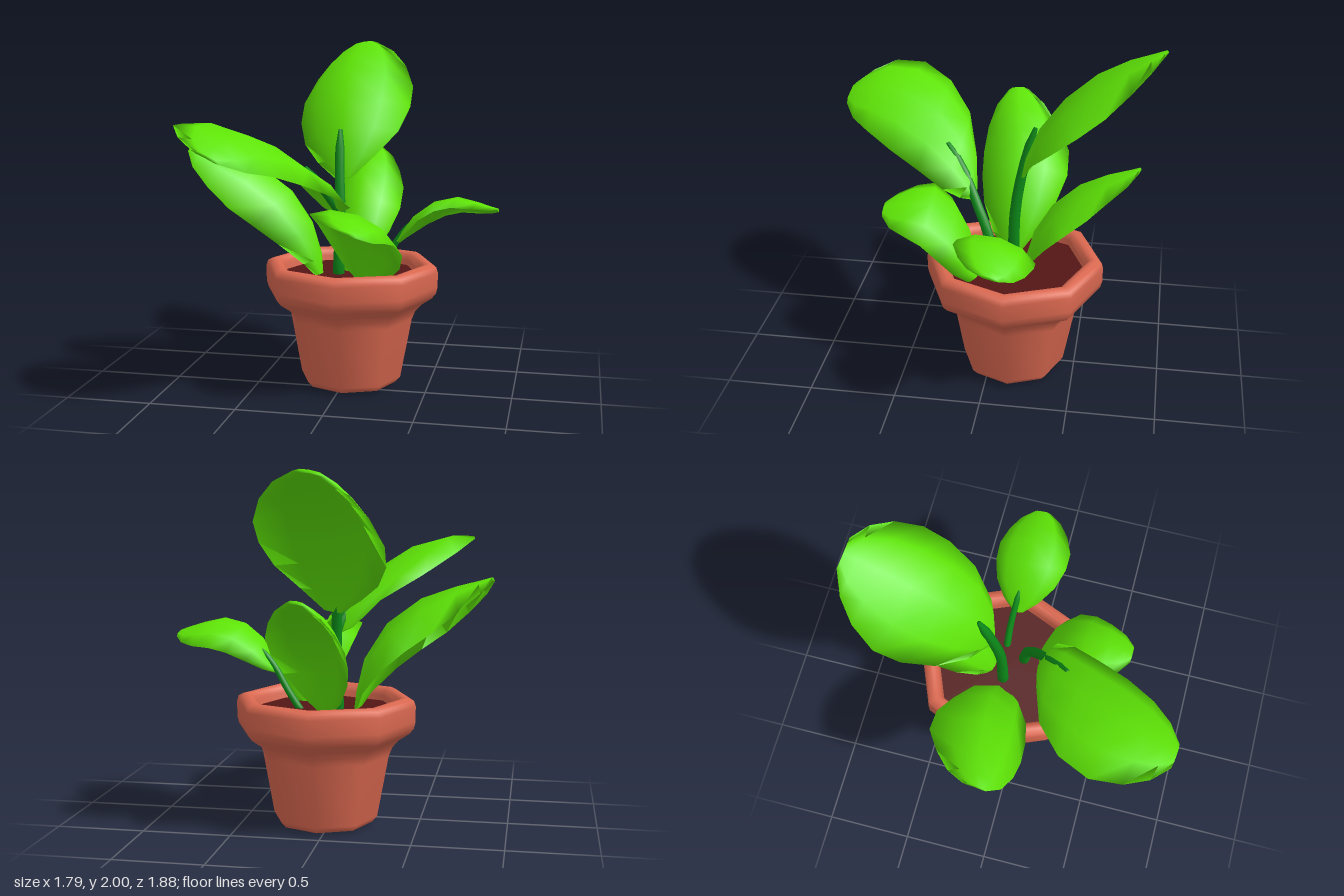
import * as THREE from 'three';

const V = (p) => new THREE.Vector3(...p);
const mat = (color) => new THREE.MeshStandardMaterial({ color });

// Closed skin over a list of equal-length rings, with fan caps at both ends
function loft(rings) {
  const n = rings[0].length, pos = [], idx = [];
  rings.forEach((r) => r.forEach((p) => pos.push(p.x, p.y, p.z)));
  for (let i = 0; i < rings.length - 1; i++) {
    for (let j = 0; j < n; j++) {
      const a = i * n + j, b = i * n + (j + 1) % n;
      idx.push(a, b, a + n, b, b + n, a + n);
    }
  }
  [rings[0], rings[rings.length - 1]].forEach((r, end) => {
    const c = r.reduce((s, p) => s.add(p), new THREE.Vector3()).divideScalar(n);
    const ci = pos.length / 3, o = end ? (rings.length - 1) * n : 0;
    pos.push(c.x, c.y, c.z);
    for (let j = 0; j < n; j++) {
      const a = o + j, b = o + (j + 1) % n;
      end ? idx.push(ci, a, b) : idx.push(ci, b, a);
    }
  });
  const g = new THREE.BufferGeometry();
  g.setAttribute('position', new THREE.Float32BufferAttribute(pos, 3));
  g.setIndex(idx);
  g.computeVertexNormals();
  return g;
}

// Leaf outline: position along the spine, share of the half width
const OUTLINE = [[0, 0.14], [0.1, 0.5], [0.26, 0.83], [0.46, 0.99], [0.66, 1], [0.83, 0.82], [0.94, 0.56], [1, 0.24]];
// Leaf section: across the width, share of the thickness below the top skin
const SECTION = [[1, 0.5], [0.6, 0], [0, 0], [-0.6, 0], [-1, 0.5], [-0.6, 1], [0, 1], [0.6, 1]];

// Domed leaf along a ridge line; side is the half-width vector
function leafGeometry({ spine, side, dome }) {
  const curve = new THREE.CatmullRomCurve3(spine.map(V)), s = V(side);
  return loft(OUTLINE.map(([t, w]) => {
    const p = curve.getPointAt(t);
    const up = curve.getTangentAt(t).cross(s).normalize();
    return SECTION.map(([x, k]) => p.clone()
      .addScaledVector(s, x * w)
      .addScaledVector(up, -dome * x * x * w * w - 0.035 * k * Math.min(1, w + 0.3)));
  }));
}

// Round stem that narrows to a blunt tip
function stemGeometry(points, radius) {
  const curve = new THREE.CatmullRomCurve3(points.map(V)), steps = 8, sides = 8;
  const f = curve.computeFrenetFrames(steps, false), rings = [];
  for (let i = 0; i <= steps; i++) {
    const r = radius * (i === steps ? 0.35 : 1 - 0.25 * i / steps);
    const p = curve.getPointAt(i / steps), ring = [];
    for (let j = 0; j < sides; j++) {
      const a = j / sides * Math.PI * 2;
      ring.push(p.clone()
        .addScaledVector(f.normals[i], Math.cos(a) * r)
        .addScaledVector(f.binormals[i], Math.sin(a) * r));
    }
    rings.push(ring);
  }
  return loft(rings);
}

const LEAVES = {
  backTallLeaf: { spine: [[-0.02, 1.22, -0.17], [-0.03, 1.39, -0.205], [-0.05, 1.58, -0.31], [-0.07, 1.79, -0.51], [-0.06, 1.92, -0.73], [-0.04, 1.99, -0.92]], side: [-0.35, -0.06, -0.04], dome: 0.18 },
  frontLargeLeaf: { spine: [[-0.04, 1.08, 0.1], [-0.08, 1.22, 0.13], [-0.22, 1.39, 0.26], [-0.36, 1.53, 0.52], [-0.44, 1.55, 0.75], [-0.49, 1.48, 0.94]], side: [0.335, -0.15, 0.04], dome: 0.09 },
  rightSideLeaf: { spine: [[-0.13, 0.64, -0.1], [-0.16, 0.87, -0.1], [-0.27, 1.1, -0.1], [-0.5, 1.29, -0.09], [-0.89, 1.41, -0.03]], side: [-0.02, -0.03, 0.265], dome: 0.2 },
  frontSmallLeaf: { spine: [[0.16, 0.64, 0.05], [0.18, 0.95, 0.15], [0.16, 1.1, 0.34], [0.16, 1.05, 0.6]], side: [0.24, -0.08, 0], dome: 0.07 },
  leftSideLeaf: { spine: [[0.31, 0.87, -0.12], [0.44, 1.05, -0.12], [0.62, 1.14, -0.12], [0.89, 1.08, -0.12]], side: [0.01, -0.05, -0.215], dome: 0.06 },
  backLowLeaf: { spine: [[0.02, 0.64, -0.18], [0.03, 0.99, -0.29], [0.03, 1.23, -0.53], [0.05, 1.34, -0.82]], side: [-0.22, -0.03, -0.03], dome: 0.14 },
};

const STEMS = {
  backStem: [[[-0.04, 0.63, -0.12], [-0.03, 1.0, -0.13], [-0.045, 1.3, -0.18], [-0.05, 1.5, -0.235]], 0.035],
  frontStem: [[[0.11, 0.63, -0.03], [0.09, 0.85, 0], [0.02, 1.05, 0.09], [-0.06, 1.2, 0.17], [-0.14, 1.34, 0.28]], 0.033],
  leftStem: [[[0.16, 0.63, -0.15], [0.25, 0.77, -0.15], [0.32, 0.89, -0.14], [0.4, 0.99, -0.13]], 0.022],
};

export function createModel() {
  const model = new THREE.Group();
  const add = (name, geometry, material) => {
    const mesh = new THREE.Mesh(geometry, material);
    mesh.name = name;
    model.add(mesh);
    return mesh;
  };

  // Eight-sided pot with a heavy rounded rim
  const profile = [
    [0, 0], [0.23, 0], [0.27, 0.01], [0.3, 0.045], [0.365, 0.4], [0.385, 0.45], [0.42, 0.49],
    [0.48, 0.53], [0.505, 0.56], [0.515, 0.6], [0.515, 0.69], [0.505, 0.72], [0.475, 0.735],
    [0.45, 0.735], [0.425, 0.72], [0.415, 0.69], [0.4, 0.6],
  ].map(([x, y]) => new THREE.Vector2(x, y));
  const pot = add('pot', new THREE.LatheGeometry(profile, 8), mat(0xda6850));
  pot.position.set(0.033, 0, -0.135);

  // Soil disc inside the rim
  const soil = add('soil', new THREE.CylinderGeometry(0.412, 0.4, 0.05, 8), mat(0x541616));
  soil.position.set(0.033, 0.635, -0.135);

  // Leaves and the stems that carry the raised ones
  const leafGreen = mat(0x5ee406), stemGreen = mat(0x0c8a18);
  for (const [name, leaf] of Object.entries(LEAVES)) add(name, leafGeometry(leaf), leafGreen);
  for (const [name, [points, radius]] of Object.entries(STEMS)) add(name, stemGeometry(points, radius), stemGreen);

  return model;
}
